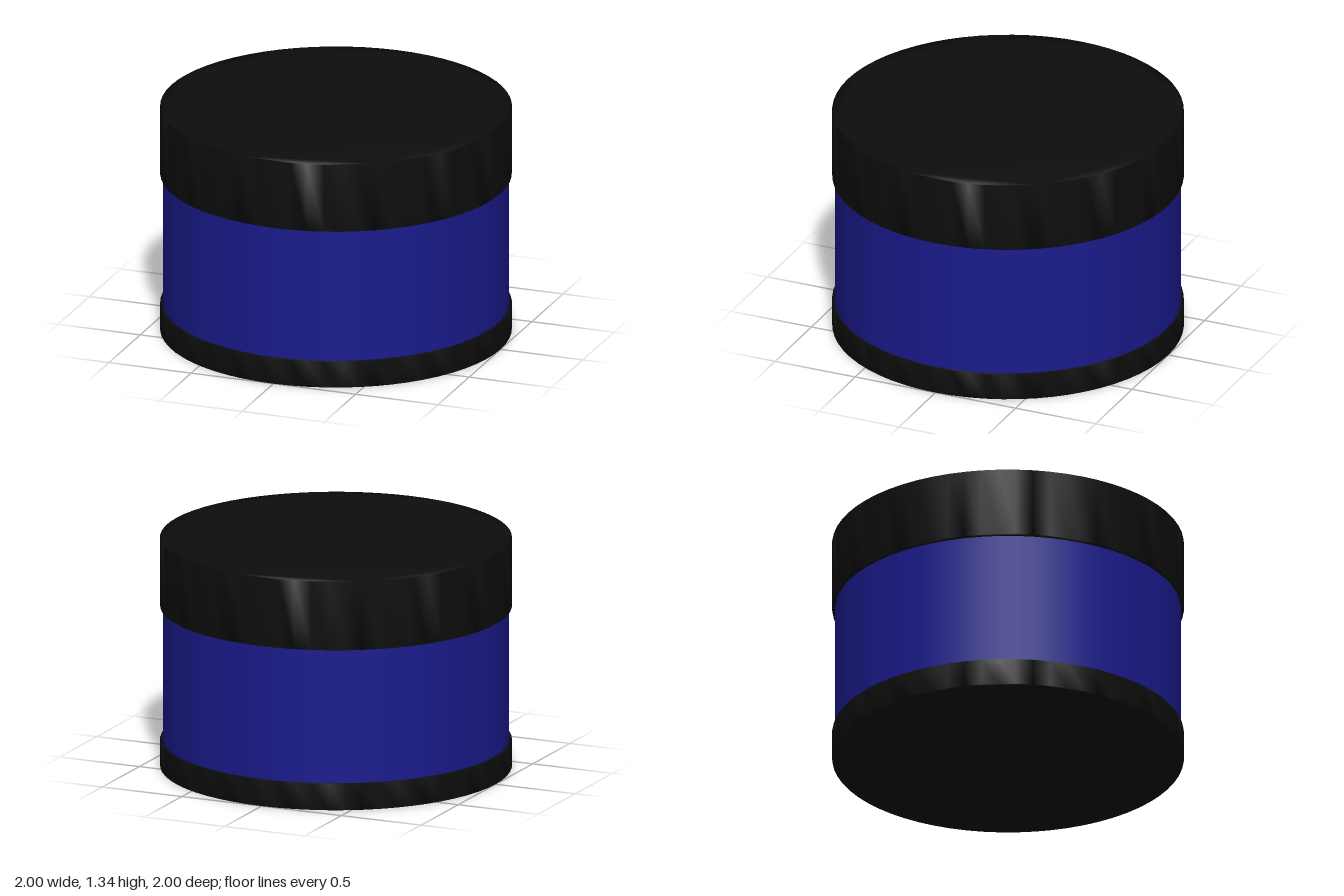
import * as THREE from 'three';
import { mergeVertices } from 'three/addons/utils/BufferGeometryUtils.js';

const SEGMENTS = 64;

// Solid disc whose shading runs softly over the rim
function softDisc(radius, y0, y1) {
  const points = [];
  for (let i = 0; i < SEGMENTS; i++) {
    const a = (i / SEGMENTS) * Math.PI * 2;
    points.push(new THREE.Vector2(Math.cos(a) * radius, Math.sin(a) * radius));
  }
  let geometry = new THREE.ExtrudeGeometry(new THREE.Shape(points), { depth: y1 - y0, bevelEnabled: false });
  geometry.rotateX(-Math.PI / 2);
  geometry.translate(0, y0, 0);
  geometry.deleteAttribute('normal');
  geometry.deleteAttribute('uv');
  geometry = mergeVertices(geometry, 1e-4);
  geometry.computeVertexNormals();
  return geometry;
}

export function createModel() {
  const group = new THREE.Group();
  const black = new THREE.MeshStandardMaterial({ color: 0x0d0d0d });
  const blue = new THREE.MeshStandardMaterial({ color: 0x1a1a8c });

  const add = (name, geometry, material) => {
    const mesh = new THREE.Mesh(geometry, material);
    mesh.name = name;
    group.add(mesh);
    return mesh;
  };

  // Thin base plate
  add('base', softDisc(1, 0, 0.155), black);

  // Slightly narrower drum, sharp edged
  const bottom = 0.155, top = 0.935;
  const drum = add('drum', new THREE.CylinderGeometry(0.983, 0.983, top - bottom, SEGMENTS), blue);
  drum.position.y = (bottom + top) / 2;

  // Thick lid, separated from the drum by a hairline gap
  add('lid', softDisc(1, 0.94, 1.343), black);

  return group;
}
